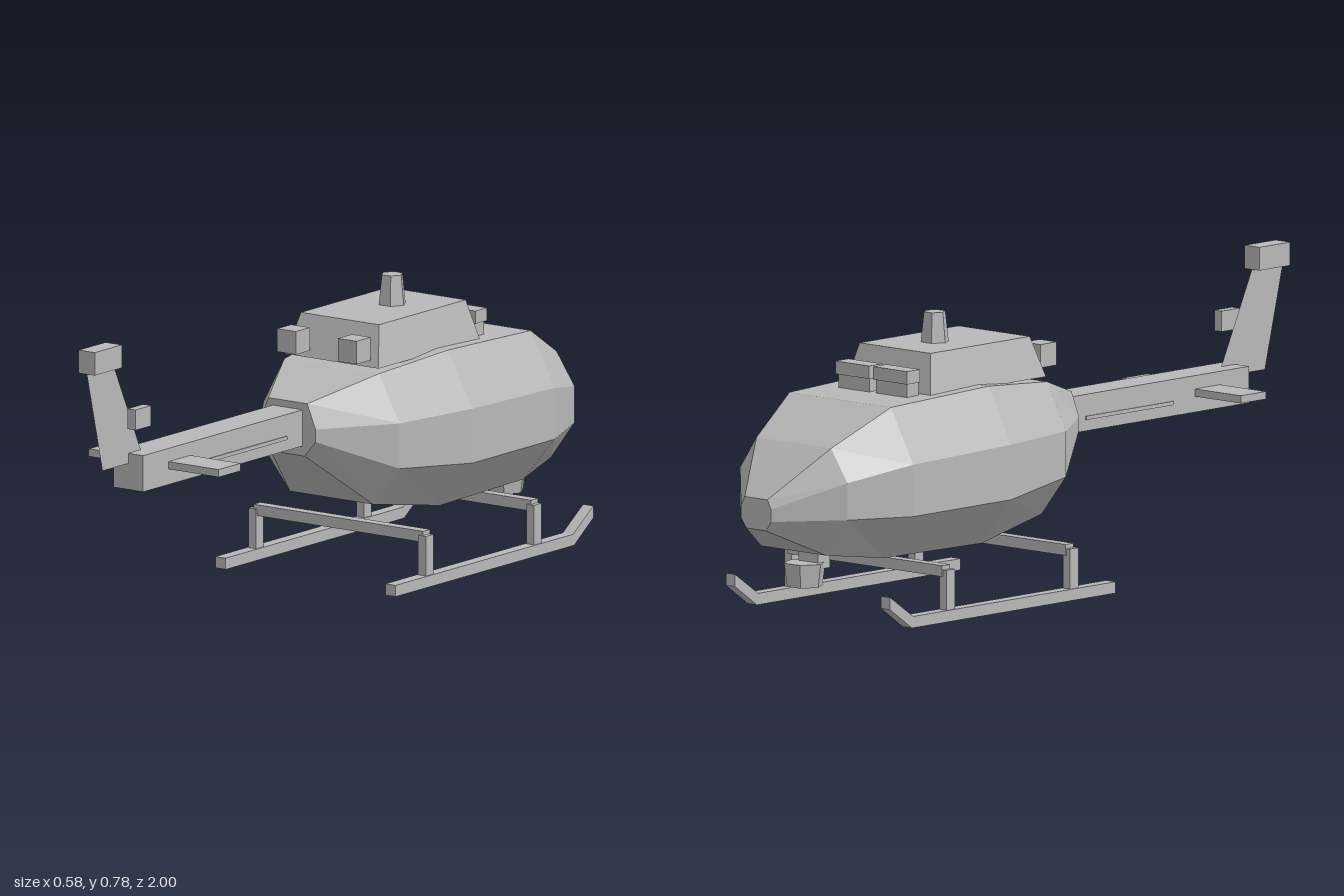
import * as THREE from 'three';

const grey = new THREE.MeshStandardMaterial({ color: 0xb8b8b8, flatShading: true, side: THREE.DoubleSide });
grey.name = 'plain grey';

export function createModel() {
  const model = new THREE.Group();
  model.name = 'helicopter';

  const add = (name, geometry) => {
    const mesh = new THREE.Mesh(geometry, grey);
    mesh.name = name;
    model.add(mesh);
    return mesh;
  };

  // box given by its limits on each axis
  const box = (name, x0, x1, y0, y1, z0, z1) =>
    add(name, new THREE.BoxGeometry(x1 - x0, y1 - y0, z1 - z0))
      .position.set((x0 + x1) / 2, (y0 + y1) / 2, (z0 + z1) / 2);

  // closed loft through rings that run counterclockwise seen from +z
  const loft = (rings) => {
    const n = rings[0].length, index = [];
    for (let i = 0; i < rings.length - 1; i++) {
      for (let j = 0; j < n; j++) {
        const k = (j + 1) % n, a = i * n + j, b = i * n + k;
        index.push(a, b, b + n, a, b + n, a + n);
      }
    }
    const last = (rings.length - 1) * n;
    for (let j = 1; j < n - 1; j++) {
      index.push(0, j + 1, j, last, last + j, last + j + 1);
    }
    const g = new THREE.BufferGeometry();
    g.setAttribute('position', new THREE.Float32BufferAttribute(rings.flat(2), 3));
    g.setIndex(index);
    g.computeVertexNormals();
    return g;
  };

  // fuselage: z, bottom half width, bottom y, side half width, lower y, upper y, top half width, top y
  const stations = [
    [-1.0, 0.035, 0.26, 0.053, 0.285, 0.318, 0.04, 0.342],
    [-0.857, 0.115, 0.187, 0.19, 0.288, 0.385, 0.132, 0.47],
    [-0.68, 0.155, 0.164, 0.258, 0.284, 0.42, 0.18, 0.562],
    [-0.315, 0.16, 0.16, 0.265, 0.286, 0.43, 0.185, 0.575],
    [-0.06, 0.135, 0.204, 0.22, 0.31, 0.43, 0.153, 0.553],
    [0.13, 0.055, 0.355, 0.09, 0.397, 0.43, 0.063, 0.495],
  ];
  add('fuselage', loft(stations.map(([z, bw, by, w, ly, uy, tw, ty]) => [
    [-bw, by, z], [bw, by, z], [w, ly, z], [w, uy, z],
    [tw, ty, z], [-tw, ty, z], [-w, uy, z], [-w, ly, z],
  ])));

  // engine cowling: rectangle tapering upwards
  const slab = (z, w, y0, y1) => [[-w, y0, z], [w, y0, z], [w, y1, z], [-w, y1, z]];
  const cowling = loft([slab(-0.5, 0.151, 0.566, 0.673), slab(-0.061, 0.151, 0.566, 0.673)]);
  const p = cowling.attributes.position;
  for (let i = 0; i < p.count; i++) {
    if (p.getY(i) > 0.6) {
      p.setX(i, Math.sign(p.getX(i)) * 0.126);
      p.setZ(i, p.getZ(i) < -0.3 ? -0.472 : -0.096);
    }
  }
  cowling.computeVertexNormals();
  add('engineCowling', cowling);

  // six-sided rotor mast and belly sensor
  const hex = (name, top, bottom, y0, y1, z) =>
    add(name, new THREE.CylinderGeometry(top, bottom, y1 - y0, 6, 1, false, Math.PI / 2))
      .position.set(0, (y0 + y1) / 2, z);
  hex('rotorMast', 0.029, 0.038, 0.67, 0.752, -0.322);
  hex('bellySensor', 0.056, 0.048, 0.09, 0.152, -0.815);
  box('sensorMount', -0.035, 0.035, 0.135, 0.2, -0.802, -0.757);

  // tail
  box('tailBoom', -0.048, 0.048, 0.381, 0.477, 0.1, 0.82);
  box('tailStabilizer', -0.21, 0.21, 0.422, 0.442, 0.615, 0.71);
  const fin = new THREE.ShapeGeometry(new THREE.Shape(
    [[0.753, 0.45], [0.932, 0.45], [1, 0.72], [0.883, 0.72]].map(([z, y]) => new THREE.Vector2(z, y))));
  fin.rotateY(-Math.PI / 2);
  add('tailFin', fin);
  box('finCap', -0.026, 0.026, 0.718, 0.779, 0.883, 1);
  box('tailRotorHub', 0.044, 0.07, 0.558, 0.612, 0.815, 0.882);

  // skid side profile with upturned front end
  const skidShape = new THREE.Shape(
    [[0.053, 0], [0.053, 0.03], [-0.715, 0.03], [-0.803, 0.09], [-0.803, 0.058], [-0.72, 0]]
      .map(([z, y]) => new THREE.Vector2(z, y)));

  for (const s of [-1, 1]) {
    const side = s > 0 ? 'left' : 'right';
    const sideBox = (name, x0, x1, ...rest) =>
      box(side + name, Math.min(s * x0, s * x1), Math.max(s * x0, s * x1), ...rest);
    sideBox('Exhaust', 0.068, 0.128, 0.586, 0.647, -0.057, 0.004);
    sideBox('IntakeBase', 0.012, 0.122, 0.555, 0.602, -0.557, -0.515);
    sideBox('Intake', 0.007, 0.127, 0.602, 0.636, -0.563, -0.513);
    sideBox('BoomStrake', 0.046, 0.051, 0.41, 0.42, 0.2, 0.53);

    const skid = new THREE.ExtrudeGeometry(skidShape, { depth: 0.033, bevelEnabled: false });
    skid.rotateY(-Math.PI / 2);
    add(side + 'Skid', skid).position.x = s * 0.2745 + 0.0165;
    for (const z of [-0.1, -0.568]) {
      sideBox('SkidPost', 0.262, 0.287, 0.03, 0.135, z - 0.016, z + 0.016);
    }
  }

  // cross tubes joining the skids
  for (const z of [-0.104, -0.572]) {
    box('crossTube', -0.274, 0.274, 0.117, 0.146, z - 0.015, z + 0.015);
  }

  return model;
}
